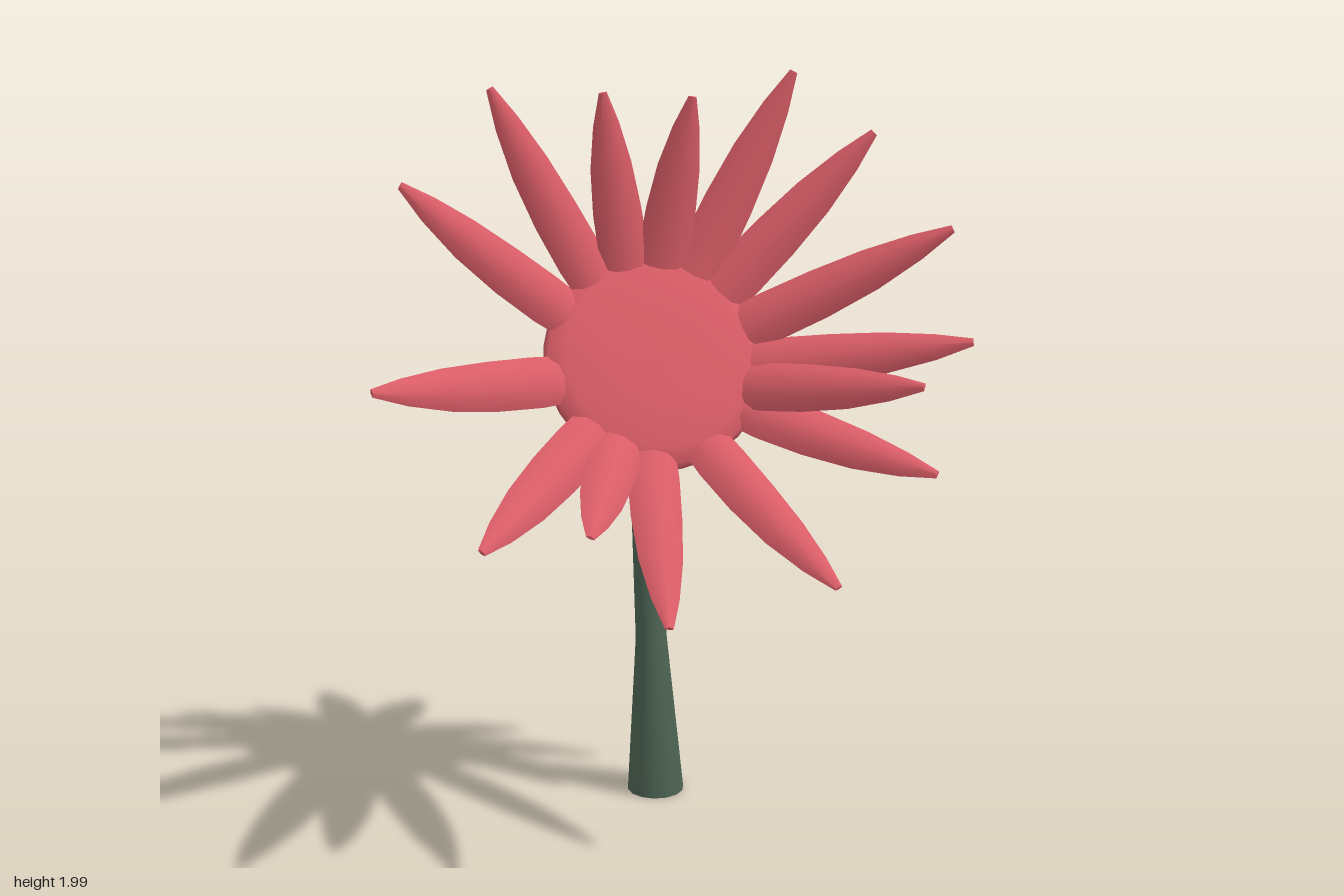
import * as THREE from 'three';
import { toCreasedNormals } from 'three/addons/utils/BufferGeometryUtils.js';

const V = (x, y, z) => new THREE.Vector3(x, y, z);

// Skin over a list of rings (arrays of points), closed at both ends
function loft(rings, crease) {
  const n = rings[0].length, pos = [], idx = [];
  rings.flat().forEach(p => pos.push(p.x, p.y, p.z));
  const centre = ring => {
    const c = ring.reduce((s, p) => s.add(p), V(0, 0, 0)).divideScalar(n);
    pos.push(c.x, c.y, c.z);
    return pos.length / 3 - 1;
  };
  const c0 = centre(rings[0]), c1 = centre(rings[rings.length - 1]);
  const last = (rings.length - 1) * n;
  for (let i = 0; i < n; i++) {
    const j = (i + 1) % n;
    for (let r = 0; r < last; r += n) {
      idx.push(r + i, r + j, r + n + j, r + i, r + n + j, r + n + i);
    }
    idx.push(c0, j, i, c1, last + i, last + j);
  }
  const g = new THREE.BufferGeometry();
  g.setAttribute('position', new THREE.Float32BufferAttribute(pos, 3));
  g.setIndex(idx);
  return toCreasedNormals(g, crease);
}

// Ring of section points [across, forward] at a point, square to the tangent
function ring(centre, tangent, facing, section) {
  const t = tangent.clone().normalize();
  const v = facing.clone().addScaledVector(t, -facing.dot(t)).normalize();
  const u = v.clone().cross(t);
  return section.map(([a, b]) => centre.clone().addScaledVector(u, a).addScaledVector(v, b));
}

const HEAD = V(0.03, 1.29, -0.13);
const AXIS = V(-0.124, 0.443, 0.888).normalize();

// Petal: ridged in front, nearly flat behind, curving from the rim to its tip
function petalGeometry(tip) {
  const out = tip.clone().sub(HEAD);
  out.addScaledVector(AXIS, -out.dot(AXIS)).normalize();
  const base = HEAD.clone().addScaledVector(out, 0.21).addScaledVector(AXIS, -0.008);
  const bend = base.clone().lerp(tip, 0.5).addScaledVector(AXIS, -0.045);
  const curve = new THREE.QuadraticBezierCurve3(base, bend, tip);
  // position along the petal, half width, ridge height
  const stations = [[0, 0.06, 0.02], [0.2, 0.066, 0.028], [0.42, 0.064, 0.032],
    [0.65, 0.054, 0.028], [0.85, 0.034, 0.018], [1, 0.01, 0.006]];
  const rings = stations.map(([s, w, h]) => ring(curve.getPoint(s), curve.getTangent(s), AXIS,
    [[w, 0], [w * 0.55, h * 0.8], [0, h], [-w * 0.55, h * 0.8], [-w, 0], [0, -h * 0.35]]));
  return loft(rings, 0.9);
}

export function createModel() {
  const group = new THREE.Group();
  const red = new THREE.MeshStandardMaterial({ color: 0xd85c66 });
  const green = new THREE.MeshStandardMaterial({ color: 0x4e6555 });
  const add = (name, geometry, material, parent = group) => {
    const mesh = new THREE.Mesh(geometry, material);
    mesh.name = name;
    parent.add(mesh);
    return mesh;
  };

  // Stem: wide foot, kinked, hooking forward into the flower head
  const path = [[0.125, 0.01, -0.37, 0.08], [0.088, 0.49, -0.308, 0.043],
    [0.086, 1.0, -0.357, 0.038], [0.082, 1.14, -0.322, 0.042],
    [0.07, 1.22, -0.265, 0.055], [0.055, 1.262, -0.215, 0.058]];
  const points = path.map(([x, y, z]) => V(x, y, z));
  const stemRings = path.map(([, , , r], i) => {
    const before = points[Math.max(i - 1, 0)], after = points[Math.min(i + 1, path.length - 1)];
    const tangent = i === 0 ? V(0, 1, 0) : after.clone().sub(points[i]).normalize()
      .add(points[i].clone().sub(before).normalize());
    const circle = Array.from({ length: 14 }, (_, k) => {
      const a = k / 14 * Math.PI * 2;
      return [Math.cos(a) * r, Math.sin(a) * r];
    });
    return ring(points[i], tangent, V(1, 0, 0), circle);
  });
  add('stem', loft(stemRings, 1), green);

  // Flower centre: shallow cone behind, soft cushion in front
  const profile = [[0, -0.085], [0.065, -0.095], [0.18, -0.055], [0.285, -0.005],
    [0.275, 0.015], [0.235, 0.032], [0.12, 0.042], [0, 0.045]];
  const disc = new THREE.LatheGeometry(profile.map(([x, y]) => new THREE.Vector2(x, y)), 30);
  const centre = add('flowerCentre', disc, red);
  centre.quaternion.setFromUnitVectors(V(0, 1, 0), AXIS);
  centre.position.copy(HEAD);

  // Petals, listed by tip position around the head
  const petals = new THREE.Group();
  petals.name = 'petals';
  group.add(petals);
  const tips = [[0.41, 2.0, -0.14], [0.6, 1.85, -0.06], [0.72, 1.62, 0.14], [0.73, 1.35, 0.24],
    [0.53, 1.27, 0.35], [0.6, 1.04, 0.31], [0.26, 0.83, 0.45], [-0.15, 0.77, 0.41],
    [-0.31, 0.98, 0.33], [-0.56, 0.97, 0.32], [-0.73, 1.29, 0.04], [-0.6, 1.74, -0.16],
    [-0.36, 1.96, -0.22], [-0.09, 1.95, -0.17], [0.13, 1.94, -0.13]];
  tips.forEach((t, i) => add('petal' + (i + 1), petalGeometry(V(...t)), red, petals));

  return group;
}
